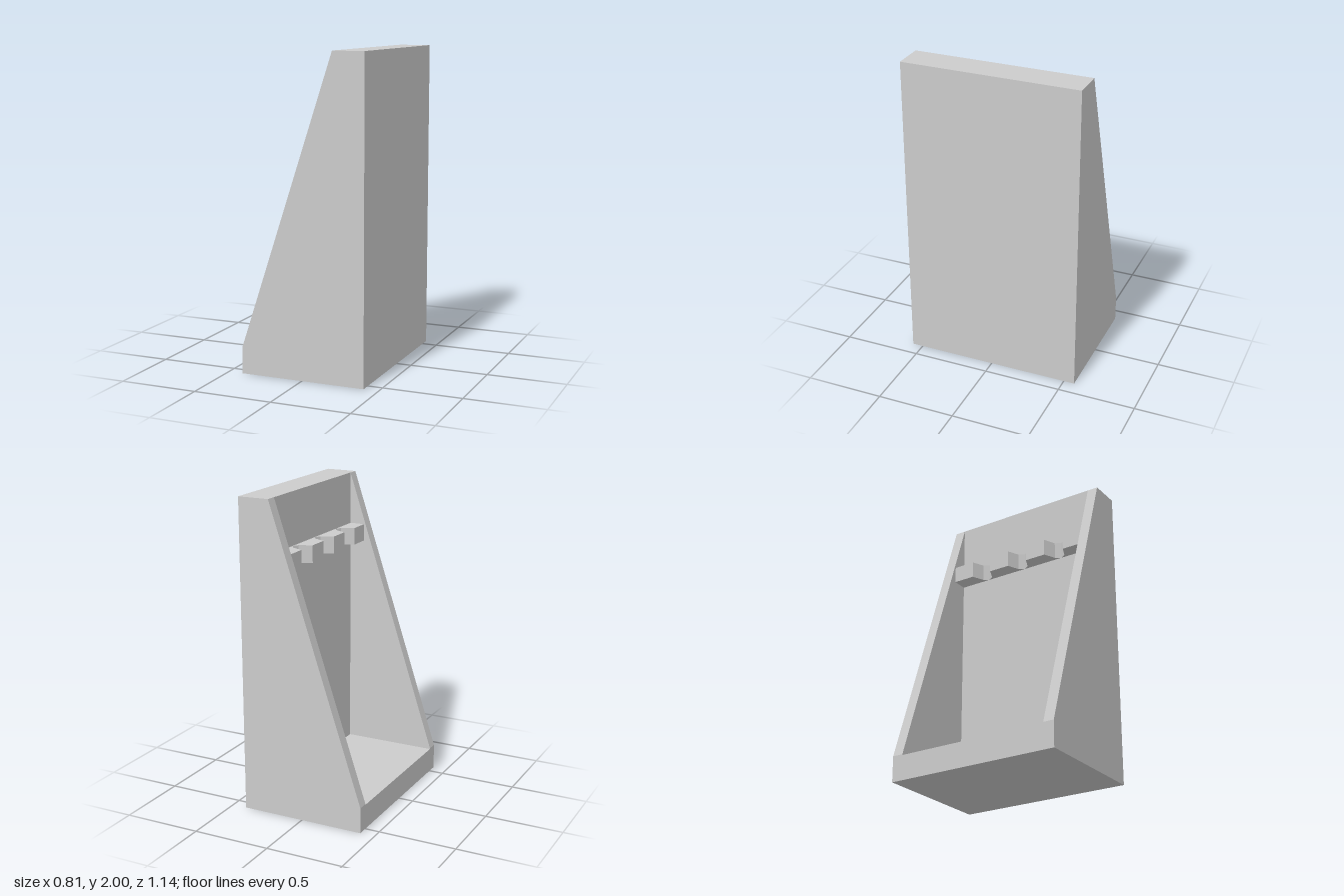
import * as THREE from 'three';

const X = 0.405, H = 2, Z = 0.57, INNER = 0.5;   // half depth, height, half width, inner half width
const LIP = 0.165, FLOOR = 0.16, PANEL = 0.202;  // lip height, floor height, face of the tall panel

function extrude(points, depth) {
  const shape = new THREE.Shape(points.map(([x, y]) => new THREE.Vector2(x, y)));
  return new THREE.ExtrudeGeometry(shape, { depth, bevelEnabled: false });
}

export function createModel() {
  const group = new THREE.Group();
  const material = new THREE.MeshStandardMaterial({ color: 0xcccccc, flatShading: true });
  const add = (name, geometry) => {
    const mesh = new THREE.Mesh(geometry, material);
    mesh.name = name;
    group.add(mesh);
    return mesh;
  };

  // Sloped side walls
  const side = [[-X, 0], [X, 0], [X, H], [PANEL, H], [-X, LIP]];
  for (const [name, z] of [['frontSideWall', INNER], ['backSideWall', -Z]]) {
    add(name, extrude(side, Z - INNER)).position.z = z;
  }

  // Floor and thick upright panel between the walls
  const body = [[-X, 0], [X, 0], [X, H], [PANEL, H], [PANEL, FLOOR], [-X, FLOOR]];
  add('floorAndPanel', extrude(body, 2 * INNER)).position.z = -INNER;

  // Hanging rail with three tapered notches, drawn in plan and raised
  const plan = [[PANEL + 0.005, -INNER], [PANEL + 0.005, INNER], [0.102, INNER]];
  for (const c of [0.285, 0, -0.285]) {
    plan.push([0.102, c + 0.071], [0.18, c + 0.036], [PANEL, c], [0.18, c - 0.036], [0.102, c - 0.071]);
  }
  plan.push([0.102, -INNER]);
  const rail = extrude(plan, 0.11);
  rail.rotateX(-Math.PI / 2);
  add('notchedRail', rail).position.y = 1.555;

  return group;
}
